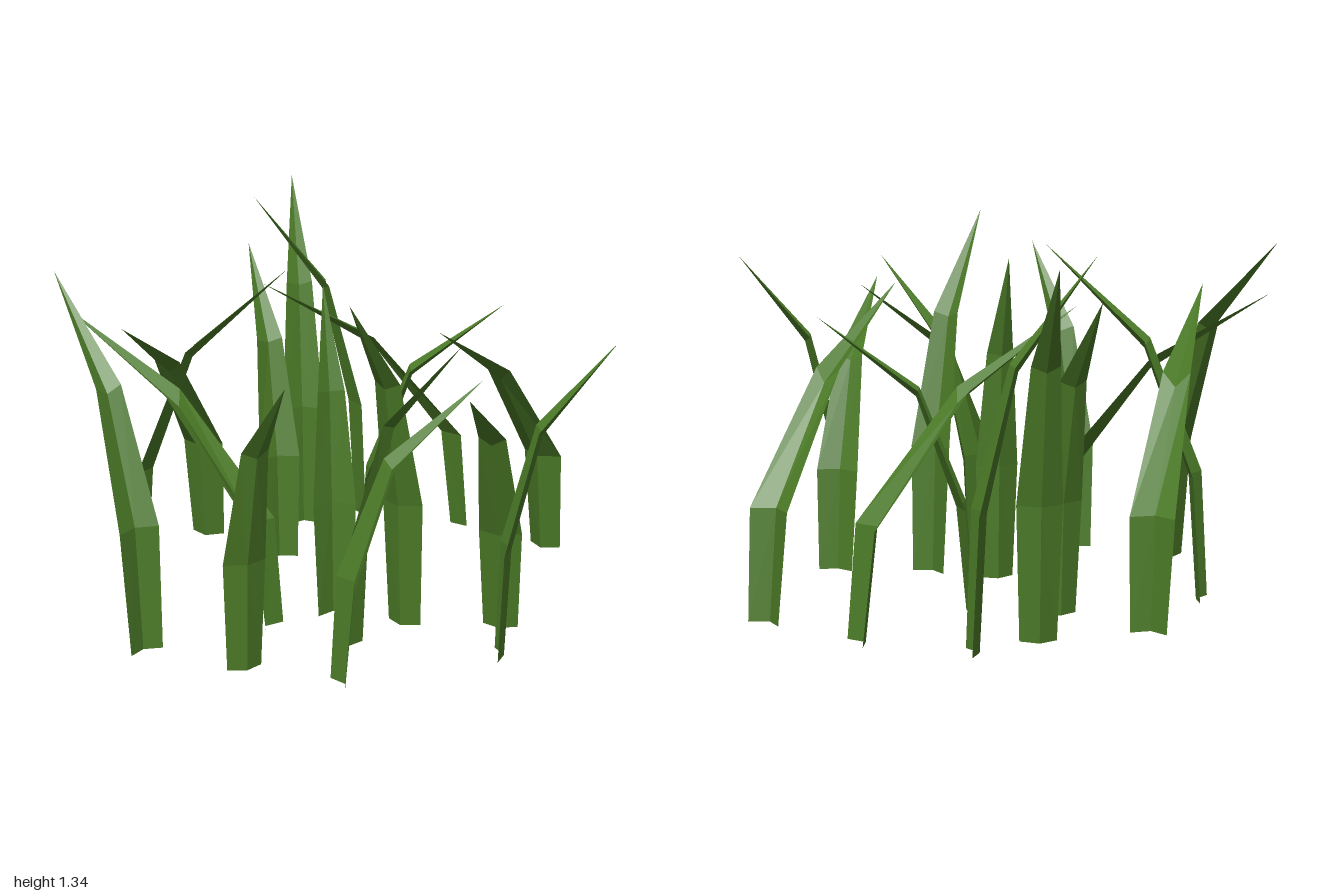
import * as THREE from 'three';

const green = new THREE.MeshStandardMaterial({ color: 0x4b7a27, side: THREE.DoubleSide, flatShading: true });
green.name = 'grassGreen';

// Blade kinds. Each level: edge height, edge reach, half width, fold offset forward, fold offset up
const KINDS = {
  arched: [[0, 0, 0.065, 0.04, 0], [0.4, 0.04, 0.08, 0.046, 0], [0.85, 0.41, 0.05, -0.025, -0.05], [1.11, 0.85, 0, 0, 0]],
  tall: [[0, 0, 0.065, 0.036, 0], [0.48, 0.02, 0.08, 0.04, 0], [0.975, 0.145, 0.05, 0.02, -0.02], [1.335, 0.43, 0, 0, 0]],
  bent: [[0, 0, 0.065, 0.028, 0], [0.46, 0.03, 0.08, 0.032, 0], [0.945, 0.22, 0.05, 0.01, -0.03], [1.28, 0.6, 0, 0, 0]],
  medium: [[0, 0, 0.065, 0.028, 0], [0.41, 0.015, 0.08, 0.032, 0], [0.86, 0.13, 0.05, 0.02, -0.02], [1.17, 0.4, 0, 0, 0]],
  short: [[0, 0, 0.065, 0.028, 0], [0.38, 0.03, 0.08, 0.034, 0], [0.8, 0.195, 0.05, 0.01, -0.025], [1.055, 0.55, 0, 0, 0]],
  upright: [[0, 0, 0.065, 0.036, 0], [0.43, 0.01, 0.08, 0.04, 0], [0.86, 0.055, 0.05, 0.025, -0.01], [1.225, 0.175, 0, 0, 0]],
};

// Folded strip that stands up, bends twice and tapers to a point; leans along +z
function bladeGeometry(levels) {
  const positions = [], index = [];
  for (const [y, z, w, forward, up] of levels) {
    positions.push(-w, y, z, 0, y + up, z + forward, w, y, z);
  }
  for (let i = 0; i < levels.length - 1; i++) {
    for (let side = 0; side < 2; side++) {
      const a = i * 3 + side, b = a + 1, c = a + 3, d = a + 4;
      index.push(a, b, c);
      if (i < levels.length - 2) index.push(b, d, c);
    }
  }
  const geometry = new THREE.BufferGeometry();
  geometry.setAttribute('position', new THREE.Float32BufferAttribute(positions, 3));
  geometry.setIndex(index);
  geometry.computeVertexNormals();
  return geometry;
}

// Each blade: kind, base x, base z, tip x, tip z
const BLADES = [
  ['tall', -0.62, -0.55, -0.875, -0.87],
  ['tall', -0.50, -0.805, -0.82, -0.525],
  ['arched', -0.105, -0.905, -0.56, -0.195],
  ['medium', -0.50, -0.20, -0.815, -0.46],
  ['short', -0.22, -0.315, 0.27, -0.605],
  ['arched', 0.31, -0.865, 0.305, -0.02],
  ['arched', -0.90, -0.275, -0.68, 0.545],
  ['bent', -0.85, 0.25, -0.265, 0.085],
  ['arched', -0.155, 0.37, -1.0, 0.445],
  ['bent', -0.43, 0.785, -0.985, 0.54],
  ['upright', -0.03, 0.15, -0.155, 0.03],
  ['medium', 0.15, 0.30, 0.545, 0.25],
  ['tall', 0.22, 0.07, 0.25, 0.49],
  ['medium', -0.06, 0.71, 0.27, 0.93],
  ['short', 0.535, -0.09, 0.69, 0.445],
  ['short', 0.30, 0.66, 0.61, 0.22],
  ['medium', 0.65, 0.15, 0.995, -0.08],
];

export function createModel() {
  const group = new THREE.Group();
  group.name = 'grassPatch';
  BLADES.forEach(([kind, x, z, tipX, tipZ], i) => {
    const blade = new THREE.Mesh(bladeGeometry(KINDS[kind]), green);
    blade.name = `${kind}GrassBlade${i + 1}`;
    blade.position.set(x, 0, z);
    blade.rotation.y = Math.atan2(tipX - x, tipZ - z);
    group.add(blade);
  });
  return group;
}
